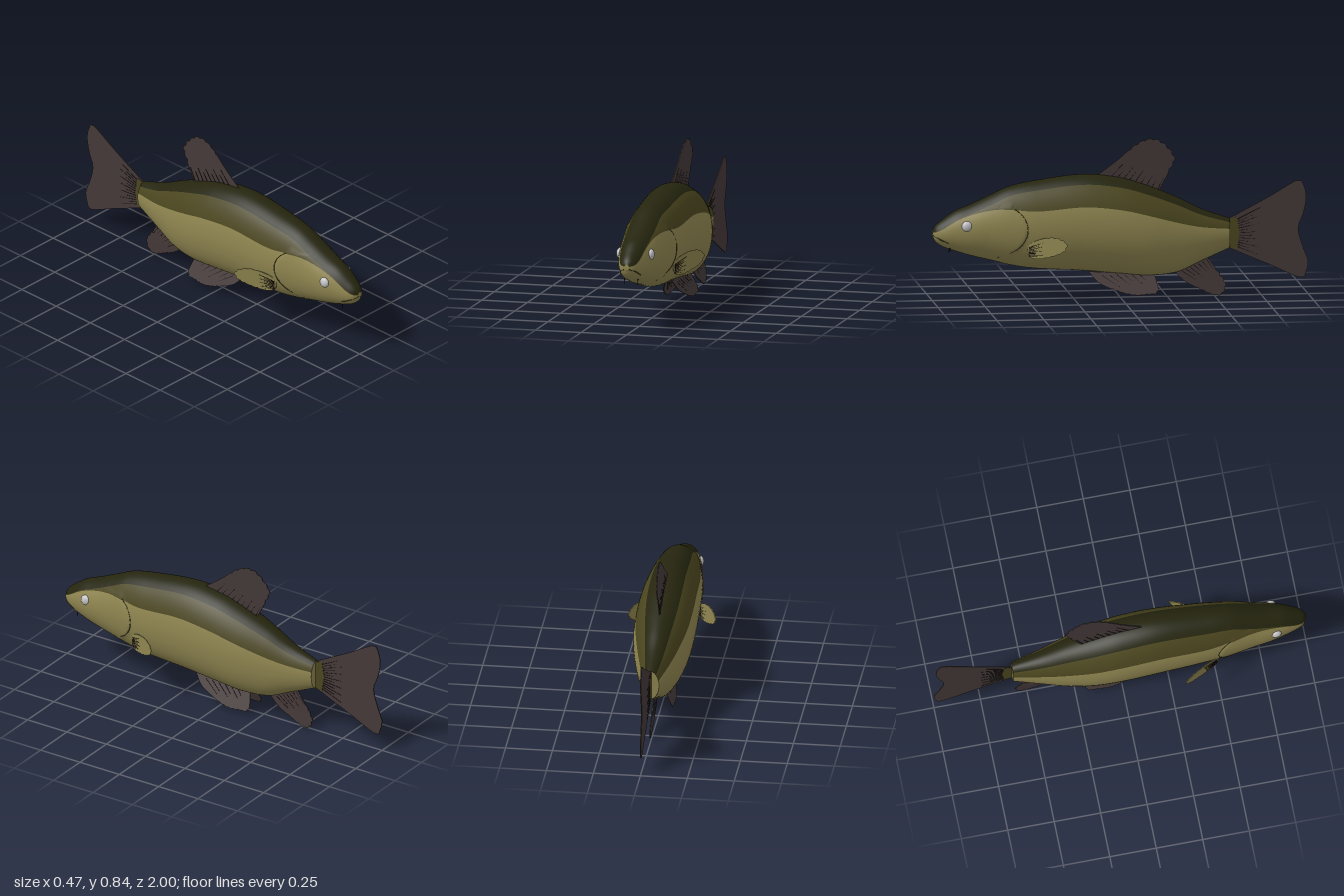
import * as THREE from 'three';

const mat = (name, color) => {
  const m = new THREE.MeshStandardMaterial({ color });
  m.name = name;
  return m;
};

// Body stations: z, bottom y, top y, half width, flank/shoulder edge and shoulder/back edge (degrees from belly)
const STATIONS = [
  [1, .355, .385, .012, 100, 104],
  [.985, .325, .408, .036, 104, 107],
  [.95, .298, .437, .056, 112, 115],
  [.88, .272, .485, .079, 124, 127],
  [.8, .247, .517, .098, 131, 135],
  [.68, .217, .572, .115, 126, 140],
  [.59, .193, .611, .127, 118, 144],
  [.46, .172, .638, .143, 112, 145],
  [.2, .155, .668, .158, 113, 146],
  [0, .136, .647, .16, 113, 146],
  [-.15, .123, .6, .147, 113, 146],
  [-.3, .138, .538, .115, 112, 145],
  [-.43, .195, .473, .082, 111, 143],
  [-.58, .26, .42, .045, 110, 140],
];

// Smooth interpolation of the stations at any z
function station(z) {
  const S = STATIONS, last = S.length - 1;
  let i = 0;
  while (i < last - 1 && z < S[i + 1][0]) i++;
  const slope = (k, c) => {
    const a = S[Math.max(k - 1, 0)], b = S[Math.min(k + 1, last)];
    return (b[c] - a[c]) / (b[0] - a[0]);
  };
  const d = S[i + 1][0] - S[i][0], t = (z - S[i][0]) / d, t2 = t * t, t3 = t2 * t;
  return S[i].map((v, c) => c === 0 ? z :
    (2 * t3 - 3 * t2 + 1) * v + (t3 - 2 * t2 + t) * d * slope(i, c) +
    (3 * t2 - 2 * t3) * S[i + 1][c] + (t3 - t2) * d * slope(i + 1, c));
}

// Point on the skin; the gill cover stands slightly proud of the flank
function skin(z, a, s = station(z)) {
  const mid = (s[1] + s[2]) / 2, half = (s[2] - s[1]) / 2;
  const y = mid - half * Math.cos(a);
  const edge = .505 + 4.2 * (y - .385) ** 2;
  const ahead = z - edge;
  const bump = y < .52 && ahead > 0 ? .006 * Math.min(1, ahead / .015) * Math.max(0, 1 - ahead / .2) : 0;
  const side = Math.sin(a);
  return new THREE.Vector3(s[3] * side + bump * side, y, z);
}

function skinAt(z, y, side) {
  const s = station(z);
  const c = ((s[1] + s[2]) / 2 - y) / ((s[2] - s[1]) / 2);
  const p = skin(z, Math.acos(THREE.MathUtils.clamp(c, -1, 1)), s);
  p.x *= side;
  return p;
}

function bodyGeometry() {
  const rows = 150, counts = [16, 5, 6], pos = [], lists = [[], [], []];
  const bands = [0, 1, 2].flatMap(b => Array(counts[b]).fill(b));
  const ringBands = [...bands, ...[...bands].reverse()];
  const n = ringBands.length;
  for (let i = 0; i <= rows; i++) {
    const s = station(1 - 1.58 * (i / rows) ** 1.3);
    const cuts = [0, s[4], s[5], 180].map(THREE.MathUtils.degToRad);
    const half = [];
    counts.forEach((c, b) => {
      for (let k = 0; k < c; k++) half.push(cuts[b] + (cuts[b + 1] - cuts[b]) * k / c);
    });
    const angles = [...half, Math.PI, ...half.slice(1).reverse().map(a => 2 * Math.PI - a)];
    angles.forEach(a => pos.push(...skin(s[0], a, s).toArray()));
    if (i === rows) break;
    for (let j = 0; j < n; j++) {
      const a = i * n + j, b = i * n + (j + 1) % n;
      lists[ringBands[j]].push(a, a + n, b + n, a, b + n, b);
    }
  }
  const g = new THREE.BufferGeometry();
  g.setAttribute('position', new THREE.Float32BufferAttribute(pos, 3));
  g.setIndex(lists.flat());
  let start = 0;
  lists.forEach((l, b) => { g.addGroup(start, l.length, b); start += l.length; });
  g.computeVertexNormals();
  return g;
}

// Thin plate from a (z, y) outline, bent sideways by lean(z, y)
function plate(points, thick, lean) {
  const g = new THREE.ExtrudeGeometry(new THREE.Shape(points), { depth: thick, bevelEnabled: false });
  g.rotateY(-Math.PI / 2).translate(thick / 2, 0, 0);
  const p = g.attributes.position;
  for (let i = 0; i < p.count; i++) p.setX(i, p.getX(i) + lean(p.getZ(i), p.getY(i)));
  g.computeVertexNormals();
  return g;
}

// Smooth fin margin with optional ragged teeth
function margin(list, teeth, n = 48) {
  const pts = new THREE.SplineCurve(list.map(p => new THREE.Vector2(...p))).getSpacedPoints(n);
  const centre = pts.reduce((s, p) => s.add(p), new THREE.Vector2()).divideScalar(pts.length);
  return pts.map((p, i) => i % 3 === 0 && i > n * .25 && i < n * .85 ? p.clone().lerp(centre, teeth) : p);
}

export function createModel() {
  const fish = new THREE.Group();
  fish.name = 'fish';
  const belly = mat('pale olive', 0x8f8550), shoulder = mat('olive', 0x4b461f);
  const back = mat('dark olive', 0x25250f), finMat = mat('fin brown', 0x453939);
  const rayMat = mat('ray black', 0x17130f), eyeMat = mat('eye silver', 0xc6c6ca);
  const add = (name, g, m) => {
    const mesh = new THREE.Mesh(g, m);
    mesh.name = name;
    fish.add(mesh);
    return mesh;
  };

  add('body', bodyGeometry(), [belly, shoulder, back]);
  add('tailStump', new THREE.CircleGeometry(1, 40).scale(.045, .08, 1).rotateY(Math.PI).translate(0, .34, -.58), belly);
  add('noseTip', new THREE.CircleGeometry(1, 24).scale(.012, .015, 1).translate(0, .37, 1), belly);

  // Fins, each with a fan of dark rays at its root
  const fin = (name, outline, teeth, lean, m, rays) => {
    add(name, plate(margin(outline, teeth), .005, lean), m);
    const { from, to, count, reach } = rays;
    const mix = (a, b, t) => a + (b - a) * t;
    for (let i = 0; i < count; i++) {
      const t = i / (count - 1), r = reach * (i % 2 ? .7 : 1);
      const a = new THREE.Vector2(mix(from[0][0], from[1][0], t), mix(from[0][1], from[1][1], t));
      const b = new THREE.Vector2(mix(to[0][0], to[1][0], t), mix(to[0][1], to[1][1], t));
      b.lerpVectors(a, b, r);
      const side = b.clone().sub(a).normalize().rotateAround(new THREE.Vector2(), Math.PI / 2).multiplyScalar(.0025);
      add(name + 'Ray', plate([a.clone().sub(side), b, a.clone().add(side)], .008, lean), rayMat);
    }
  };

  fin('dorsalFin', [[.13, .655], [.01, .745], [-.07, .815], [-.14, .85], [-.205, .845], [-.26, .80],
    [-.292, .745], [-.275, .70], [-.2, .56]], .06, (z, y) => Math.max(0, y - .65) * .05, finMat,
    { from: [[.05, .65], [-.2, .58]], to: [[-.08, .79], [-.27, .72]], count: 9, reach: .5 });
  fin('tailFin', [[-.57, .415], [-.64, .45], [-.8, .535], [-.94, .615], [-.97, .60], [-.99, .53], [-.975, .44], [-.947, .36],
    [-.97, .265], [-1, .185], [-.99, .13], [-.96, .095], [-.8, .165], [-.66, .225], [-.57, .265]], 0, () => 0, finMat,
    { from: [[-.6, .40], [-.6, .275]], to: [[-.92, .56], [-.92, .15]], count: 13, reach: .45 });
  fin('analFin', [[-.27, .16], [-.34, .09], [-.42, .045], [-.5, .01], [-.545, .018], [-.56, .075], [-.5, .165], [-.45, .23]],
    .06, (z, y) => Math.max(0, .16 - y) * .05, finMat,
    { from: [[-.33, .14], [-.46, .2]], to: [[-.5, .03], [-.55, .07]], count: 7, reach: .5 });
  for (const s of [1, -1]) {
    const name = s > 0 ? 'left' : 'right';
    fin(name + 'PelvicFin', [[.17, .15], [.115, .09], [.01, .045], [-.07, .026], [-.14, .03], [-.195, .042], [-.18, .13]],
      .06, (z, y) => s * (.022 + (.135 - y) * .44), finMat,
      { from: [[.1, .13], [-.1, .13]], to: [[-.05, .03], [-.18, .05]], count: 6, reach: .6 });
    fin(name + 'PectoralFin', [[.505, .265], [.5, .315], [.43, .352], [.36, .36], [.31, .33], [.33, .285], [.41, .25], [.48, .242], [.505, .265]],
      .06, z => s * (.13 + (.49 - z) * .57), belly,
      { from: [[.5, .3], [.5, .255]], to: [[.36, .36], [.38, .25]], count: 8, reach: .55 });

    // Eye, gill edge, mouth line and barbel
    add(name + 'Eye', new THREE.SphereGeometry(.028, 24, 16).scale(.65, 1, 1).translate(s * .085, .412, .825), eyeMat);
    const tube = (part, pts, r) => add(name + part, new THREE.TubeGeometry(
      new THREE.CatmullRomCurve3(pts.map(([z, y]) => skinAt(z, y, s))), 40, r, 6), shoulder);
    tube('GillEdge', [[.575, .505], [.535, .47], [.508, .41], [.515, .35], [.56, .29], [.66, .24]], .0025);
    tube('Mouth', [[.998, .358], [.975, .345], [.945, .33], [.92, .318]], .003);
    add(name + 'Barbel', new THREE.ConeGeometry(.003, .035, 6).rotateX(Math.PI).translate(s * .036, .274, .91), rayMat);
  }

  // Olive scales running onto the tail root
  add('tailRoot', plate([[-.575, .415], [-.62, .425], [-.635, .34], [-.62, .25], [-.575, .265]].map(p => new THREE.Vector2(...p)),
    .009, () => 0), shoulder);
  return fish;
}
